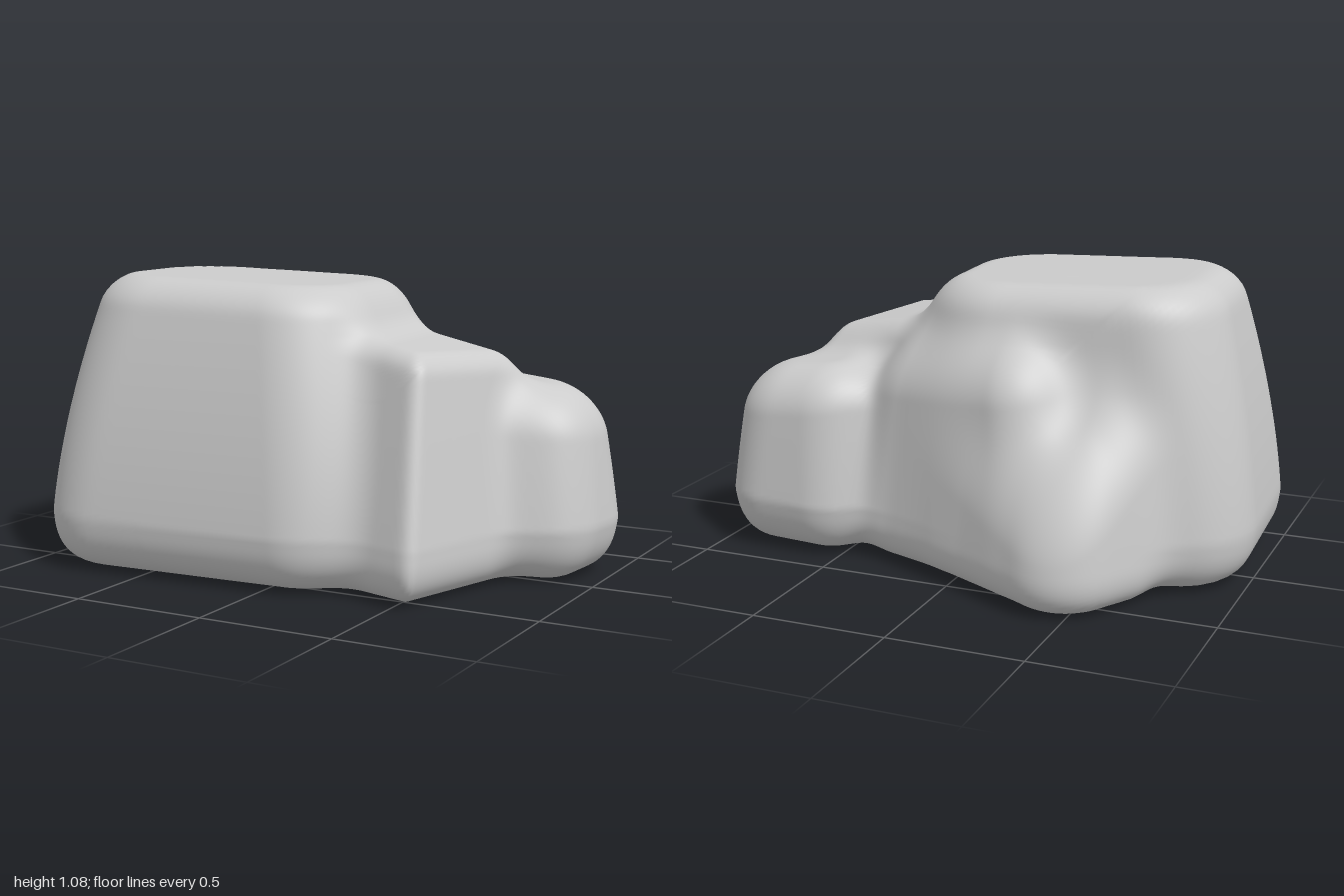
import * as THREE from 'three';
import { mergeVertices } from 'three/addons/utils/BufferGeometryUtils.js';

// Rounded, tapered blocks: height, top slopes along x and z, plan centre and half sizes at the
// base and the top, yaw, plan corner radius, top edge radius, side bulge (1 is straight)
// and undercut near the ground.
const blocks = [
  // tall main mass
  { h: 1.07, slope: [-0.03, 0], base: [-0.335, 0.17, 0.675, 0.535], top: [-0.32, 0.11, 0.525, 0.41], yaw: -0.05, corner: 0.3, edge: 0.11, bulge: 1.7, under: 0.2 },
  // lower shoulder
  { h: 0.885, slope: [-0.17, 0], base: [0.31, 0.11, 0.435, 0.45], top: [0.25, 0.104, 0.355, 0.24], yaw: 0.29, corner: 0.05, edge: 0.07, bulge: 1.1, under: 0.1 },
  // side boulder
  { h: 0.71, slope: [-0.1, 0], base: [0.69, -0.16, 0.325, 0.29], top: [0.655, -0.18, 0.275, 0.22], yaw: 0.1, corner: 0.22, edge: 0.17, bulge: 1.3, under: 0.3 },
  // back foot
  { h: 0.72, slope: [0, 0.9], base: [-0.333, -0.322, 0.4, 0.31], top: [-0.333, -0.3, 0.33, 0.25], yaw: 0.53, corner: 0.24, edge: 0.15, bulge: 1.4, under: 0 },
  // back ledge
  { h: 0.87, slope: [-0.12, 0.1], base: [-0.038, -0.19, 0.44, 0.27], top: [-0.035, -0.175, 0.34, 0.255], yaw: 0.33, corner: 0.16, edge: 0.18, bulge: 1.7, under: 0 },
];

const lerp = THREE.MathUtils.lerp;

// Distance to a box corner of any radius, in two dimensions
function roundedCorner(a, b, radius) {
  const u = a + radius, v = b + radius;
  return Math.hypot(Math.max(u, 0), Math.max(v, 0)) + Math.min(Math.max(u, v), 0) - radius;
}

function blockDistance(p, b) {
  const t = THREE.MathUtils.clamp(p.y / b.h, 0, 1) ** b.bulge;
  const [cx, cz, hx, hz] = b.base.map((v, i) => lerp(v, b.top[i], t));
  const dx = p.x - cx, dz = p.z - cz;
  const c = Math.cos(b.yaw), s = Math.sin(b.yaw);
  const plan = roundedCorner(Math.abs(dx * c + dz * s) - hx, Math.abs(dz * c - dx * s) - hz, b.corner);
  const inset = b.under * Math.max(0.2 - p.y, 0);
  const [sx, sz] = b.slope;
  const above = (p.y - b.h - sx * dx - sz * dz) / Math.hypot(1, sx, sz);
  return roundedCorner(plan + inset, above, b.edge);
}

function smoothMin(a, b, k) {
  const h = Math.max(k - Math.abs(a - b), 0) / k;
  return Math.min(a, b) - h * h * k / 4;
}

// All blocks melted together and cut flat at the ground
function rockDistance(p) {
  const d = blocks.map((b) => blockDistance(p, b)).reduce((a, v) => smoothMin(a, v, 0.13));
  return -smoothMin(-d, p.y, 0.16);
}

// Outermost surface point along a ray from the centre
function surfacePoint(centre, dir) {
  const at = (r) => centre.clone().addScaledVector(dir, r);
  let outer = 1.5;
  while (outer > 0.04 && rockDistance(at(outer - 0.03)) > 0) outer -= 0.03;
  let inner = outer - 0.03;
  for (let i = 0; i < 12; i++) {
    const mid = (inner + outer) / 2;
    if (rockDistance(at(mid)) > 0) outer = mid;
    else inner = mid;
  }
  return at(inner);
}

export function createModel() {
  const group = new THREE.Group();
  group.name = 'rock';

  // Shrink-wrap a finely divided box onto the rock
  let geometry = new THREE.BoxGeometry(2, 2, 2, 72, 72, 72);
  geometry.deleteAttribute('uv');
  geometry.deleteAttribute('normal');
  geometry = mergeVertices(geometry);
  const pos = geometry.attributes.position;
  const centre = new THREE.Vector3(0.1, 0.36, 0.13);
  const dir = new THREE.Vector3();
  const even = (v) => Math.tan(v * Math.PI / 4); // evens out the spacing of the rays
  for (let i = 0; i < pos.count; i++) {
    dir.set(even(pos.getX(i)), even(pos.getY(i)), even(pos.getZ(i))).normalize();
    const p = surfacePoint(centre, dir);
    pos.setXYZ(i, p.x, p.y, p.z);
  }
  geometry.computeVertexNormals();

  const boulder = new THREE.Mesh(geometry, new THREE.MeshStandardMaterial({ color: 0xcccccc }));
  boulder.name = 'boulder';
  group.add(boulder);
  return group;
}
